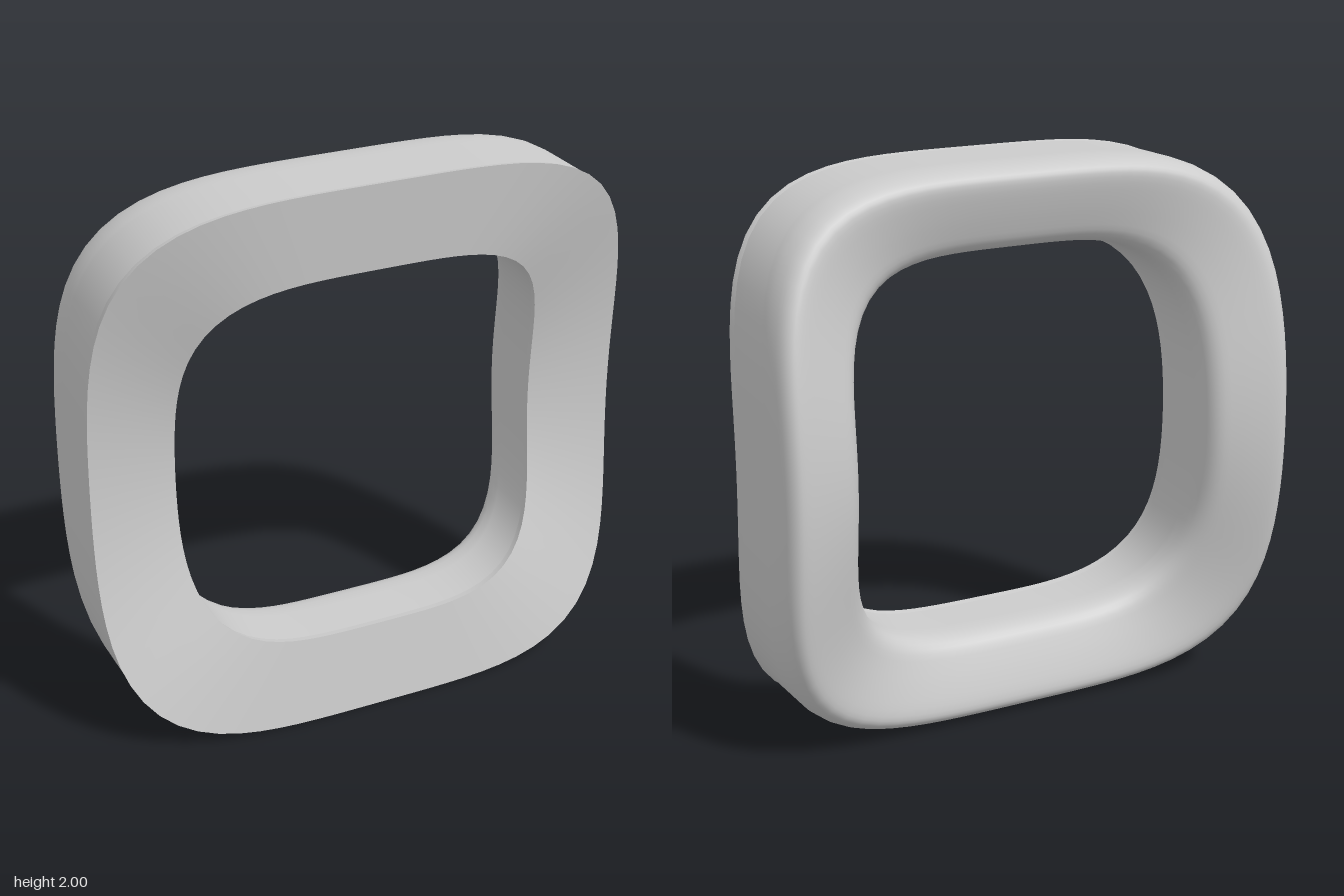
import * as THREE from 'three';

const SEGMENTS = 96;
const material = new THREE.MeshStandardMaterial({ color: 0xcccccc });

// Radius of a unit rounded square (superellipse) at an angle
function squircle(angle, power) {
  const c = Math.abs(Math.cos(angle)), s = Math.abs(Math.sin(angle));
  return Math.pow(Math.pow(c, power) + Math.pow(s, power), -1 / power);
}

// Sweep a cross-section round the frame. Each point is [t, zSide, zTop]:
// t runs from the opening (0) to the outer rim (1); depth is blended from
// the middle of the sides (zSide) to the top and bottom bars (zTop).
function sweep(name, profile) {
  const positions = [], indices = [], n = profile.length;
  for (let i = 0; i < SEGMENTS; i++) {
    const a = (i / SEGMENTS) * Math.PI * 2;
    const inner = 0.685 * squircle(a, 3.8), outer = squircle(a, 4);
    const bend = Math.pow(outer * Math.sin(a), 2);
    profile.forEach(([t, zSide, zTop], j) => {
      const r = inner + (outer - inner) * t;
      positions.push(r * Math.cos(a), 1 + r * Math.sin(a), zSide + (zTop - zSide) * bend);
      if (j === n - 1) return;
      const p = i * n + j, q = ((i + 1) % SEGMENTS) * n + j;
      indices.push(p, p + 1, q, q, p + 1, q + 1);
    });
  }
  const geometry = new THREE.BufferGeometry();
  geometry.setAttribute('position', new THREE.Float32BufferAttribute(positions, 3));
  geometry.setIndex(indices);
  geometry.computeVertexNormals();
  const mesh = new THREE.Mesh(geometry, material);
  mesh.name = name;
  return mesh;
}

export function createModel() {
  const group = new THREE.Group();
  group.name = 'curvedFrame';

  // Rounded back: smooth curve from the outer wall to the opening
  const back = new THREE.SplineCurve([
    [0.99, -0.14], [0.985, -0.2], [0.95, -0.265], [0.88, -0.3], [0.77, -0.308],
    [0.55, -0.29], [0.3, -0.262], [0.12, -0.235], [0.03, -0.19], [0.01, -0.12],
  ].map(([t, z]) => new THREE.Vector2(t, z))).getPoints(27).map(p => [p.x, p.y, p.y + 0.19]);

  group.add(
    sweep('cushionBody', [[0.99, 0.085, 0.28], [0.99, 0, 0.19], ...back, [0.01, 0, 0.18], [0.01, 0.055, 0.235]]),
    // Flat contact face and its thin rim
    sweep('frontFace', [[0, 0.085, 0.26], [1, 0.12, 0.3]]),
    sweep('outerRim', [[1, 0.12, 0.3], [0.99, 0.085, 0.28]]),
    sweep('innerRim', [[0.01, 0.055, 0.235], [0, 0.085, 0.26]]),
  );
  return group;
}
